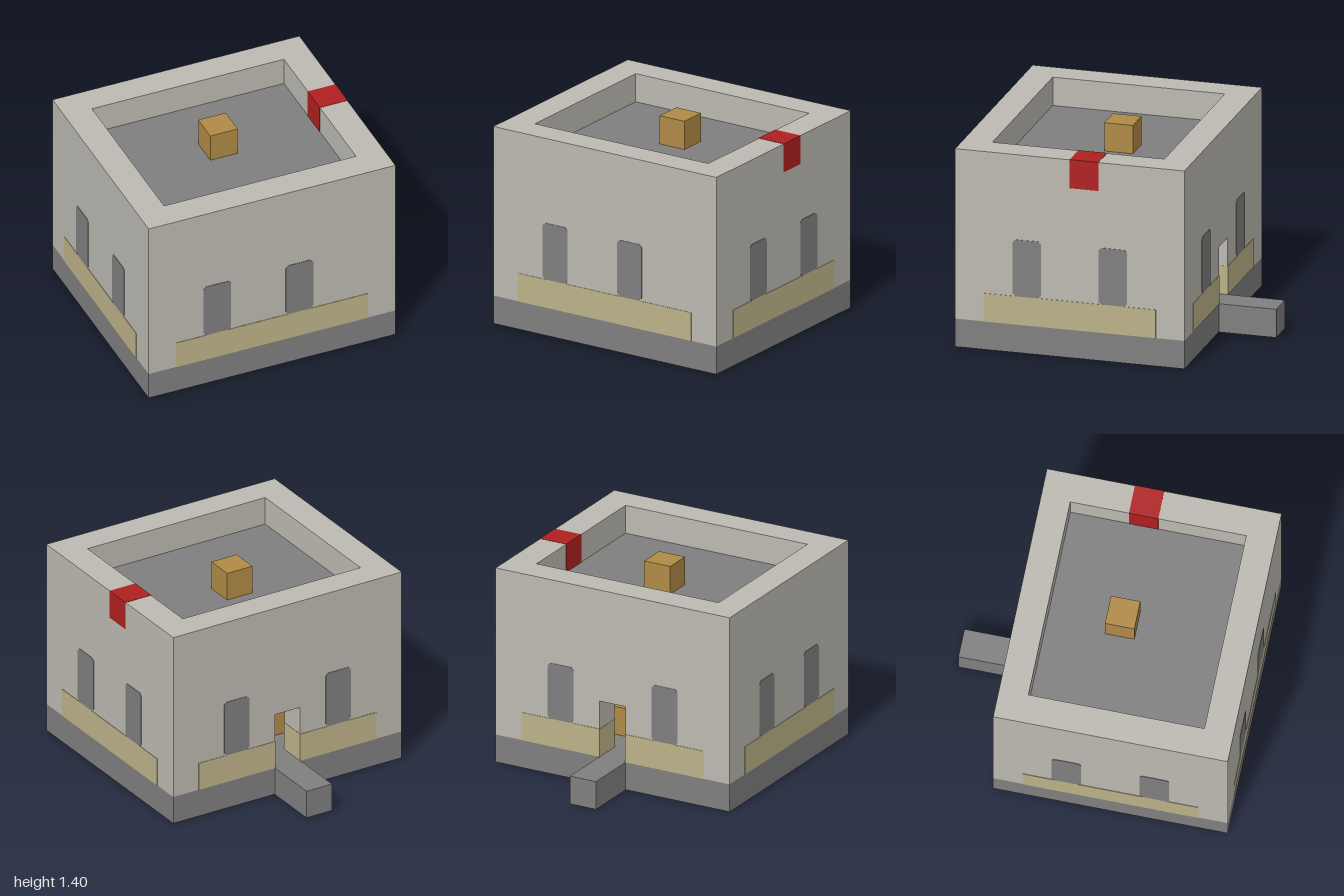
import * as THREE from 'three';

const mat = (name, color) => {
  const m = new THREE.MeshStandardMaterial({ color });
  m.name = name;
  return m;
};

export function createModel() {
  const model = new THREE.Group();
  model.name = 'house';
  const stone = mat('pale stone', 0xbcb9b1);
  const grey = mat('grey stone', 0x7f7f7f);
  const sand = mat('sand', 0xbcb288);
  const red = mat('red', 0xb02020);
  const wood = mat('wood', 0xb08a45);
  const brick = mat('brick', 0x8a5a4e);

  const add = (name, geometry, material, parent = model) => {
    const mesh = new THREE.Mesh(geometry, material);
    mesh.name = name;
    parent.add(mesh);
    return mesh;
  };
  // Box given by its lower and upper limits on each axis
  const box = (name, material, [x0, x1], [y0, y1], [z0, z1], parent) => {
    const g = new THREE.BoxGeometry(x1 - x0, y1 - y0, z1 - z0);
    g.translate((x0 + x1) / 2, (y0 + y1) / 2, (z0 + z1) / 2);
    return add(name, g, material, parent);
  };
  // Upright panel with clipped corners, centred on the origin
  const clipped = (w, h, d, c) => {
    const a = w / 2, b = h / 2;
    const pts = [[-a + c, -b], [a - c, -b], [a, -b + c], [a, b - c],
      [a - c, b], [-a + c, b], [-a, b - c], [-a, -b + c]];
    const s = new THREE.Shape(pts.map(([x, y]) => new THREE.Vector2(x, y)));
    return new THREE.ExtrudeGeometry(s, { depth: d, bevelEnabled: false }).translate(0, 0, -d / 2);
  };

  // Base, doorstep and roof
  box('base', grey, [-0.9, 0.9], [0.002, 0.2], [-0.6, 1]);
  box('doorstep', grey, [-0.1, 0.1], [0, 0.2], [-1, -0.6]);
  box('roof', grey, [-0.7, 0.7], [1, 1.2], [-0.4, 0.8]);
  box('chimney', wood, [-0.1, 0.1], [1.2, 1.4], [0, 0.2]);

  // Walls, the back one pierced by the doorway
  const Y = [0.2, 1.4];
  box('frontWall', stone, [-0.9, 0.9], Y, [0.8, 1]);
  for (const s of [-1, 1]) {
    box('sideWall', stone, s > 0 ? [0.7, 0.9] : [-0.9, -0.7], Y, [-0.4, 0.8]);
    box('backWall', stone, s > 0 ? [0.1, 0.9] : [-0.9, -0.1], Y, [-0.6, -0.4]);
  }
  box('doorLintel', stone, [-0.1, 0.1], [0.6, 1.4], [-0.6, -0.4]);
  box('redBlock', red, [0.698, 0.902], [1.2, 1.402], [0, 0.2]);

  // Windows and sand-coloured bands, showing on both faces of each wall
  const T = 0.206;
  const walls = [
    { name: 'front', x: 0, z: 0.9, turn: 0, windows: [-0.4, 0.2], bands: [[-0.7, 0.7]] },
    { name: 'back', x: 0, z: -0.5, turn: 0, windows: [-0.4, 0.4], bands: [[-0.7, -0.098], [0.098, 0.7]] },
    { name: 'right', x: 0.8, z: 0, turn: -Math.PI / 2, windows: [-0.1, 0.5], bands: [[-0.4, 0.8]] },
    { name: 'left', x: -0.8, z: 0, turn: -Math.PI / 2, windows: [-0.1, 0.5], bands: [[-0.4, 0.8]] },
  ];
  for (const w of walls) {
    const g = new THREE.Group();
    g.name = w.name + 'WallDetails';
    g.position.set(w.x, 0, w.z);
    g.rotation.y = w.turn;
    for (const u of w.windows) {
      add('window', clipped(0.2, 0.4, T, 0.02), grey, g).position.set(u, 0.6, 0);
    }
    for (const b of w.bands) box('band', sand, b, [0.2, 0.4], [-T / 2, T / 2], g);
    model.add(g);
  }

  // Chequered floor tiles, set right through the base
  [-0.1, 0.1, 0.3, 0.5].forEach((z, row) => {
    for (const x of row % 2 ? [-0.2, 0.2] : [-0.4, 0, 0.4]) {
      const tile = clipped(0.2, 0.2, 0.202, 0.03).rotateX(Math.PI / 2);
      add('floorTile', tile, brick).position.set(x, 0.101, z);
    }
  });

  // Wooden seats inside
  for (const x of [-0.2, 0.2]) box('seat', wood, [x - 0.1, x + 0.1], [0.2, 0.4], [-0.2, 0]);

  return model;
}
